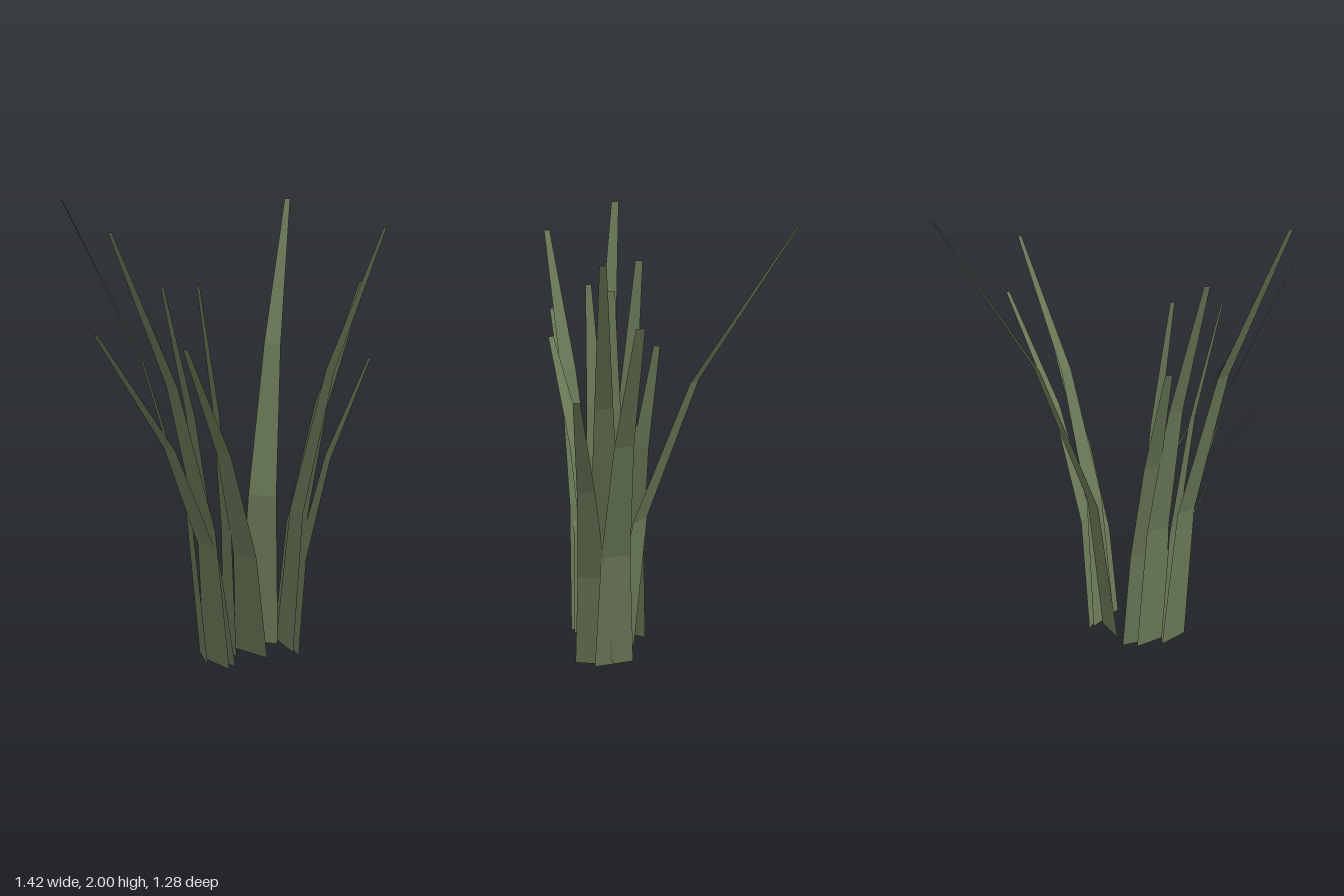
import * as THREE from 'three';

// Each blade: base x, base z, lean x, lean z, height, base width, tip width
const BLADES = [
  [0.135, 0.12, 0.273, -0.755, 2.0, 0.18, 0.027],
  [0.245, 0.18, 0.458, -0.112, 1.87, 0.18, 0.027],
  [0.262, 0.14, 0.378, -0.202, 1.625, 0.18, 0.038],
  [0.275, 0.228, 0.33, -0.023, 1.31, 0.175, 0.03],
  [0.08, 0.245, -0.322, 0.292, 1.4, 0.178, 0.027],
  [-0.138, 0.28, -0.572, 0.045, 1.985, 0.17, 0.035],
  [-0.09, 0.345, -0.447, 0.28, 1.86, 0.17, 0.028],
  [-0.06, 0.315, -0.537, 0.306, 1.47, 0.18, 0.032],
  [-0.09, 0.18, -0.33, -0.03, 1.74, 0.18, 0.036],
  [-0.1, 0.28, -0.215, 0.09, 1.637, 0.175, 0.028],
  [-0.01, 0.2, -0.14, 0.028, 1.635, 0.175, 0.038],
  [-0.055, 0.135, -0.253, -0.09, 1.36, 0.18, 0.035],
];

// Flat tapering strip in three segments, arching outward along a parabola
function bladeGeometry([x, z, dx, dz, height, baseWidth, tipWidth]) {
  const plane = new THREE.PlaneGeometry(1, 1, 1, 3);
  const pos = plane.attributes.position;
  const len = Math.hypot(dx, dz);
  for (let i = 0; i < pos.count; i++) {
    const t = pos.getY(i) + 0.5;
    const side = pos.getX(i) * THREE.MathUtils.lerp(baseWidth, tipWidth, t);
    pos.setXYZ(
      i,
      x + dx * t * t - (dz / len) * side,
      height * t,
      z + dz * t * t + (dx / len) * side
    );
  }
  const flat = plane.toNonIndexed();
  flat.computeVertexNormals();
  return flat;
}

export function createModel() {
  const group = new THREE.Group();
  group.name = 'grassTuft';
  const green = new THREE.MeshStandardMaterial({ color: 0x6b7a58, side: THREE.DoubleSide });
  green.name = 'dullGreen';
  BLADES.forEach((blade, i) => {
    const mesh = new THREE.Mesh(bladeGeometry(blade), green);
    mesh.name = `grassBlade${i + 1}`;
    group.add(mesh);
  });
  return group;
}
